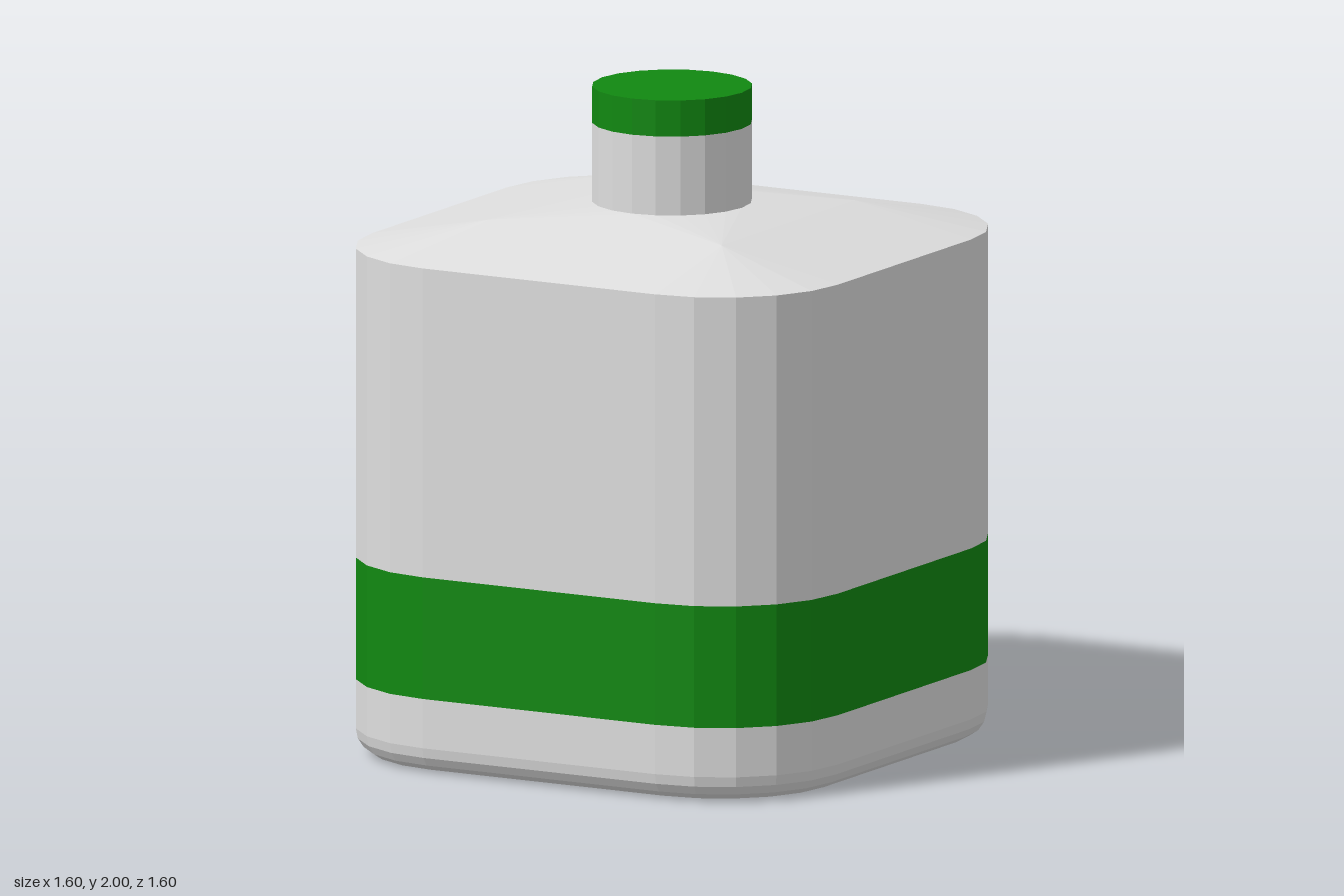
import * as THREE from 'three';

const CORNER = 0.4; // corner arc centre and radius of the square body

// Rounded-square ring: corner arcs of radius r centred at (+-c, +-c); c = 0 gives a circle
function ring(c, r, y) {
  const pts = [];
  for (let q = 0; q < 4; q++) {
    const mid = (q + 0.5) * Math.PI / 2;
    const cx = c * Math.sign(Math.cos(mid));
    const cz = c * Math.sign(Math.sin(mid));
    for (let k = 0; k <= 5; k++) {
      const a = (q + k / 5) * Math.PI / 2;
      pts.push(new THREE.Vector3(cx + r * Math.cos(a), y, cz + r * Math.sin(a)));
    }
  }
  return pts;
}

// Faceted skin through rings listed from bottom to top, leaving out empty triangles
function loft(name, material, rings) {
  const pos = [];
  const tri = (a, b, c) => {
    if (new THREE.Triangle(a, b, c).getArea() < 1e-7) return;
    for (const p of [a, b, c]) pos.push(p.x, p.y, p.z);
  };
  for (let i = 0; i < rings.length - 1; i++) {
    const lo = rings[i], hi = rings[i + 1], n = lo.length;
    for (let j = 0; j < n; j++) {
      const k = (j + 1) % n;
      tri(lo[j], hi[j], lo[k]);
      tri(lo[k], hi[j], hi[k]);
    }
  }
  const geo = new THREE.BufferGeometry();
  geo.setAttribute('position', new THREE.Float32BufferAttribute(pos, 3));
  geo.computeVertexNormals();
  const mesh = new THREE.Mesh(geo, material);
  mesh.name = name;
  return mesh;
}

function flat(name, color) {
  const m = new THREE.MeshStandardMaterial({ color, flatShading: true });
  m.name = name;
  return m;
}

export function createModel() {
  const group = new THREE.Group();
  group.name = 'bottle';
  const shell = flat('light grey', 0xdedede);
  const green = flat('green', 0x118811);
  const dark = flat('dark grey', 0x686868);
  const white = flat('off white', 0xf4f4f4);

  // Base with a rounded lower edge
  const bevel = 0.08;
  const base = [ring(0, 0, 0)];
  for (let i = 0; i <= 4; i++) {
    const a = i / 4 * Math.PI / 2;
    base.push(ring(CORNER, CORNER - bevel * (1 - Math.sin(a)), bevel * (1 - Math.cos(a))));
  }
  base.push(ring(CORNER, CORNER, 0.23));
  group.add(loft('base', shell, base));

  // Coloured band around the body
  group.add(loft('band', green, [ring(CORNER, CORNER, 0.23), ring(CORNER, CORNER, 0.6)]));

  // Upper body walls
  group.add(loft('body', shell, [ring(CORNER, CORNER, 0.6), ring(CORNER, CORNER, 1.54)]));

  // Sloping shoulder, from rounded square through a sharp square to the round neck
  group.add(loft('shoulder', shell, [
    ring(CORNER, CORNER, 1.54), ring(CORNER, 0, 1.62), ring(0, 0.24, 1.65),
  ]));

  // Neck and cap
  group.add(loft('neck', shell, [ring(0, 0.24, 1.65), ring(0, 0.24, 1.89)]));
  group.add(loft('cap', green, [ring(0, 0.24, 1.89), ring(0, 0.24, 2), ring(0, 0, 2)]));

  // Dark panel with a light end strip on the back of the band
  const plate = (name, material, x0, x1) => {
    const mesh = new THREE.Mesh(new THREE.BoxGeometry(x1 - x0, 0.17, 0.006), material);
    mesh.position.set((x0 + x1) / 2, 0.415, -0.801);
    mesh.name = name;
    group.add(mesh);
  };
  plate('backPanel', dark, -0.305, 0.33);
  plate('backPanelStrip', white, -0.33, -0.305);

  return group;
}
